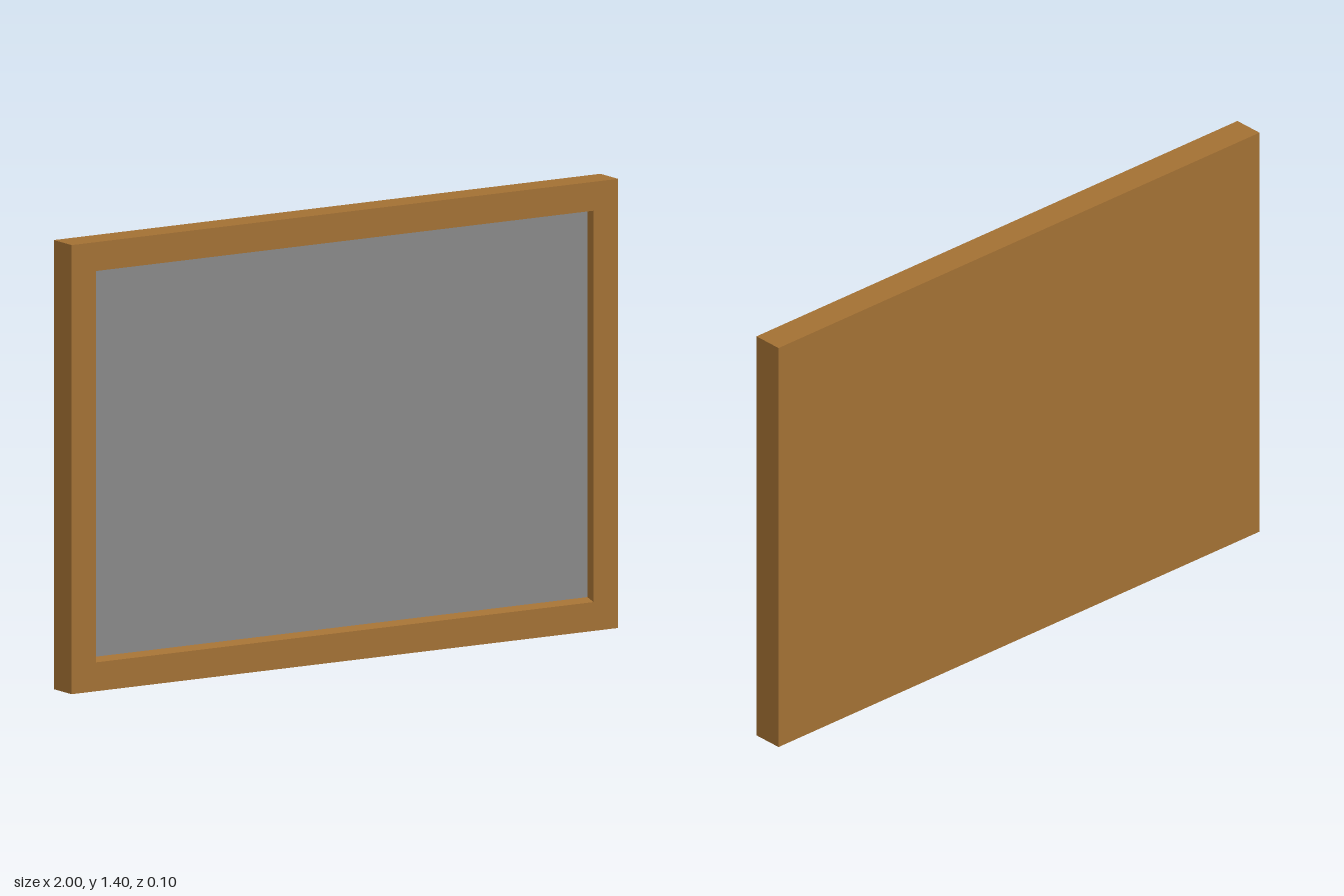
import * as THREE from 'three';

const W = 2, H = 1.4, D = 0.1;      // outer size
const BORDER = 0.09;                // width of the frame rails
const RECESS = 0.035;               // depth of the panel behind the frame front
const SILL_RISE = 0.01;             // slope of the lower ledge

const wood = new THREE.MeshStandardMaterial({ color: 0xa27033 });
const slate = new THREE.MeshStandardMaterial({ color: 0x888888 });

function addMesh(group, name, geometry, material, x, y, z) {
  const mesh = new THREE.Mesh(geometry, material);
  mesh.name = name;
  mesh.position.set(x, y, z);
  group.add(mesh);
  return mesh;
}

// Rectangle outline standing on y = 0, shrunk by an inset
function rectangle(Path, inset) {
  const x = W / 2 - inset, y0 = inset, y1 = H - inset;
  return new Path([[-x, y0], [x, y0], [x, y1], [-x, y1]].map(p => new THREE.Vector2(...p)));
}

export function createModel() {
  const group = new THREE.Group();
  group.name = 'framedBoard';
  const innerW = W - 2 * BORDER, innerH = H - 2 * BORDER;
  const panelZ = D / 2 - RECESS;
  const panelThickness = 0.02;
  const backDepth = D - RECESS - panelThickness;

  // Frame: one border with a rectangular opening
  const outline = rectangle(THREE.Shape, 0);
  outline.holes.push(rectangle(THREE.Path, BORDER));
  const frame = new THREE.ExtrudeGeometry(outline, { depth: D, bevelEnabled: false });
  addMesh(group, 'frame', frame, wood, 0, 0, -D / 2);

  // Solid back board filling the opening, flush with the frame's back
  addMesh(group, 'backBoard', new THREE.BoxGeometry(innerW, innerH, backDepth), wood,
    0, H / 2, -D / 2 + backDepth / 2);

  // Recessed panel
  addMesh(group, 'panel', new THREE.BoxGeometry(innerW, innerH, panelThickness), slate,
    0, H / 2, panelZ - panelThickness / 2);

  // Sloped lower ledge: a thin wedge rising towards the panel
  const wedge = new THREE.Shape([[0, 0], [RECESS, 0], [RECESS, SILL_RISE]]
    .map(p => new THREE.Vector2(...p)));
  const sill = new THREE.ExtrudeGeometry(wedge, { depth: innerW, bevelEnabled: false });
  addMesh(group, 'sill', sill, wood, -innerW / 2, BORDER, D / 2).rotation.y = Math.PI / 2;

  return group;
}
